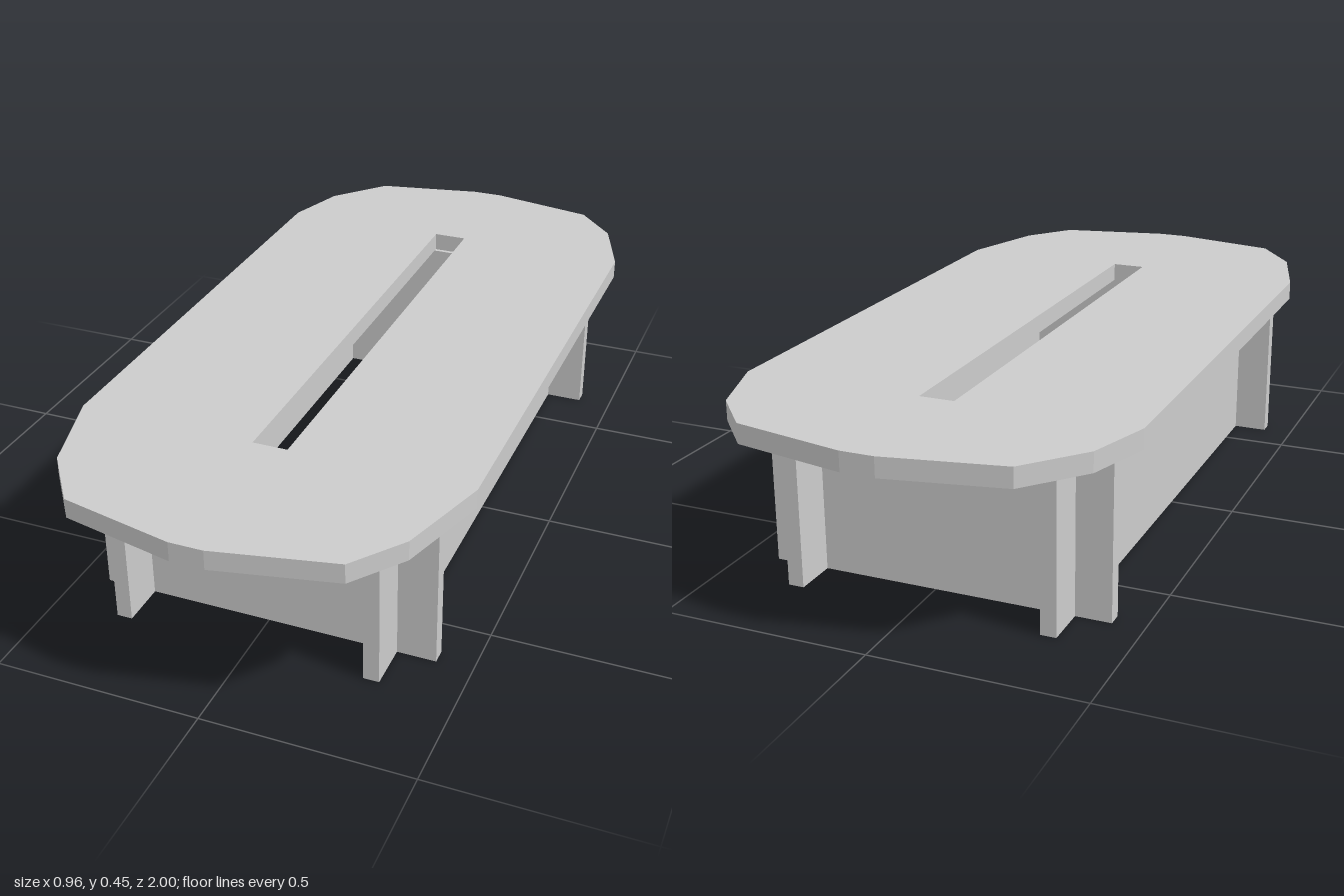
import * as THREE from 'three';

export function createModel() {
  const group = new THREE.Group();
  const material = new THREE.MeshStandardMaterial({ color: 0xcccccc, flatShading: true });
  const add = (name, geometry, x = 0, y = 0, z = 0) => {
    const mesh = new THREE.Mesh(geometry, material);
    mesh.name = name;
    mesh.position.set(x, y, z);
    group.add(mesh);
  };
  const points = (list) => list.map(([x, z]) => new THREE.Vector2(x, z));

  const topY = 0.45, topThickness = 0.047, panelHeight = topY - topThickness;

  // Table top: faceted oval with a long slot, drawn in x/z and extruded downwards
  const outline = new THREE.Shape(points([
    [0.04, -1], [0.315, -0.945], [0.415, -0.835], [0.48, -0.65],
    [0.48, 0.59], [0.41, 0.82], [0.32, 0.94], [0.04, 1],
    [-0.04, 1], [-0.315, 0.94], [-0.415, 0.805], [-0.48, 0.585],
    [-0.48, -0.65], [-0.43, -0.81], [-0.315, -0.945], [-0.04, -1],
  ]));
  outline.holes.push(new THREE.Path(points([
    [-0.045, -0.65], [-0.045, 0.59], [0.04, 0.59], [0.04, -0.65],
  ])));
  const top = new THREE.ExtrudeGeometry(outline, { depth: topThickness, bevelEnabled: false });
  top.rotateX(Math.PI / 2);
  add('tableTop', top, 0, topY, 0);

  // Long side panels, crossing the end panels near the corners
  for (const [name, x] of [['leftSidePanel', 0.30], ['rightSidePanel', -0.32]]) {
    add(name, new THREE.BoxGeometry(0.038, panelHeight, 1.53), x, panelHeight / 2, -0.017);
  }

  // Short end panels
  for (const [name, z] of [['frontEndPanel', 0.617], ['backEndPanel', -0.657]]) {
    add(name, new THREE.BoxGeometry(0.838, panelHeight, 0.036), -0.006, panelHeight / 2, z);
  }

  return group;
}
